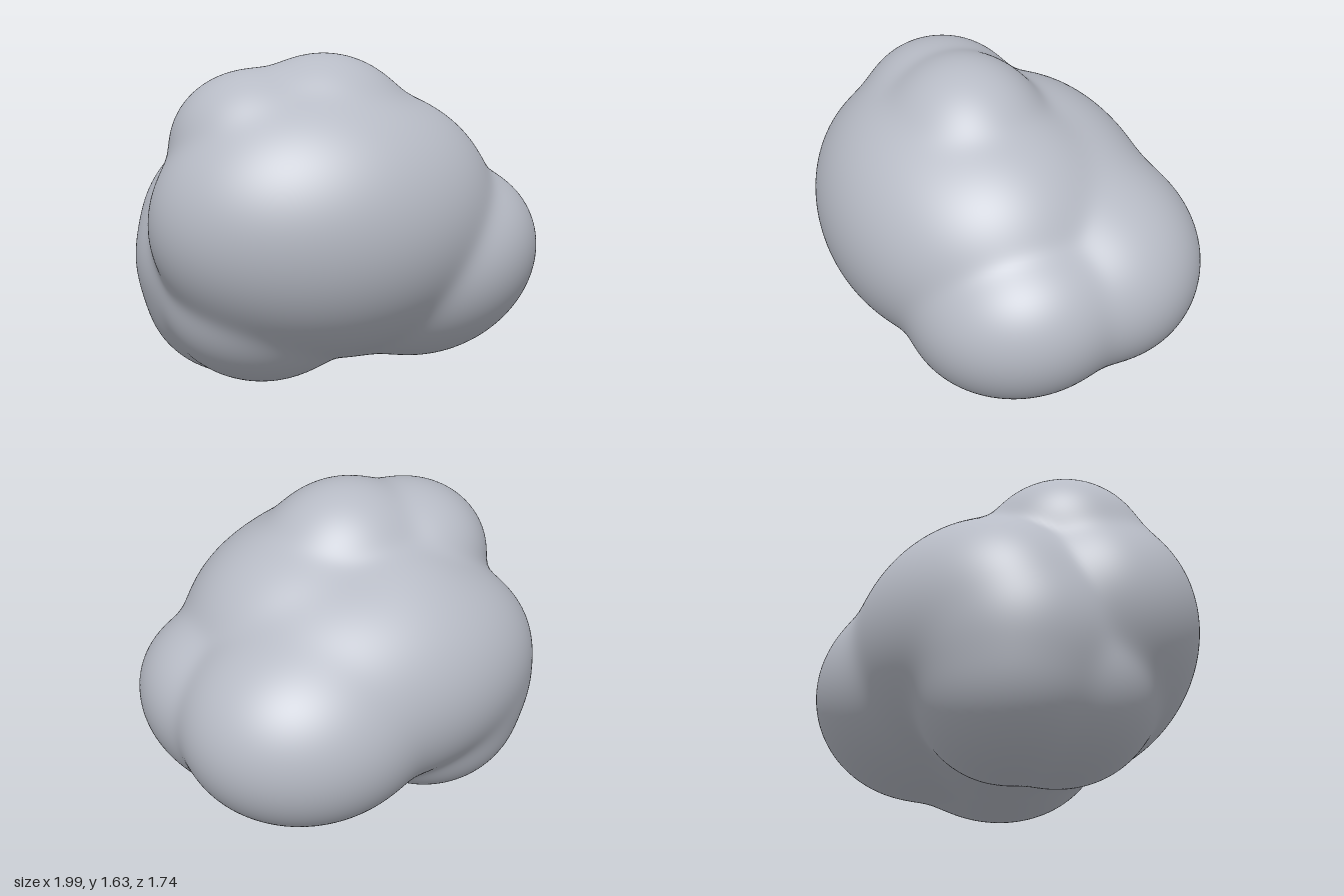
import * as THREE from 'three';
import { mergeVertices } from 'three/addons/utils/BufferGeometryUtils.js';

// Overlapping lobes: centre x, y, z, radii x, y, z and tilt about z
const LOBES = [
  [-0.17, 0.83, 0.25, 0.83, 0.65, 0.62, 0],    // large front
  [0.10, 0.85, 0.10, 0.65, 0.60, 0.64, 0],     // upper middle
  [-0.12, 1.13, 0.14, 0.49, 0.50, 0.44, 0],    // crown
  [-0.45, 1.19, 0.13, 0.42, 0.37, 0.41, 0],    // crown shoulder
  [-0.20, 0.88, -0.10, 0.55, 0.53, 0.55, 0],   // behind the crown
  [0.43, 0.59, 0.10, 0.58, 0.47, 0.56, 0.42],  // tilted side
  [0.31, 0.68, -0.30, 0.64, 0.52, 0.57, 0],    // back
  [-0.10, 0.78, -0.20, 0.85, 0.58, 0.59, 0],   // broad rear
  [-0.46, 0.61, -0.13, 0.54, 0.50, 0.50, 0],   // lower rear
  [-0.46, 0.41, -0.15, 0.48, 0.41, 0.43, 0],   // rear foot
  [-0.42, 0.45, 0.12, 0.49, 0.42, 0.45, 0],    // front foot
  [0.00, 0.50, 0.00, 0.50, 0.41, 0.50, 0],     // underside
].map(([x, y, z, a, b, c, tilt]) => ({ x, y, z, a, b, c, cos: Math.cos(tilt), sin: Math.sin(tilt) }));
const CENTRE = new THREE.Vector3(-0.06, 0.77, 0.03);
const SHARPNESS = 40;

// Softly blended distance to all lobes, negative inside
function field(p) {
  let sum = 0;
  for (const l of LOBES) {
    const dx = p.x - l.x;
    const dy = p.y - l.y;
    const u = (dx * l.cos + dy * l.sin) / l.a;
    const v = (dy * l.cos - dx * l.sin) / l.b;
    const w = (p.z - l.z) / l.c;
    const k = Math.hypot(u, v, w);
    const d = k * (k - 1) / Math.max(Math.hypot(u / l.a, v / l.b, w / l.c), 1e-6);
    sum += Math.exp(-SHARPNESS * d);
  }
  return -Math.log(sum) / SHARPNESS;
}

// Outermost surface point along a direction from the centre
function surfacePoint(dir, out) {
  const at = (t) => field(out.copy(CENTRE).addScaledVector(dir, t));
  let outer = 1.4;
  while (outer > 0.1 && at(outer - 0.03) > 0) outer -= 0.03;
  let inner = outer - 0.03;
  for (let i = 0; i < 14; i++) {
    const mid = (inner + outer) / 2;
    if (at(mid) > 0) outer = mid; else inner = mid;
  }
  return out.copy(CENTRE).addScaledVector(dir, inner);
}

function lumpyGeometry() {
  let geo = new THREE.IcosahedronGeometry(1, 44);
  geo.deleteAttribute('uv');
  geo.deleteAttribute('normal');
  geo = mergeVertices(geo, 1e-5);
  const pos = geo.attributes.position;
  const dir = new THREE.Vector3();
  const p = new THREE.Vector3();
  for (let i = 0; i < pos.count; i++) {
    dir.fromBufferAttribute(pos, i).normalize();
    surfacePoint(dir, p);
    pos.setXYZ(i, p.x, p.y, p.z);
  }
  // Stand on the ground
  geo.computeBoundingBox();
  geo.translate(0, -geo.boundingBox.min.y, 0);
  geo.computeVertexNormals();
  return geo;
}

export function createModel() {
  const group = new THREE.Group();
  group.name = 'boulder';
  const stone = new THREE.MeshStandardMaterial({ color: 0xb7bbc5 });
  stone.name = 'blue grey stone';
  const body = new THREE.Mesh(lumpyGeometry(), stone);
  body.name = 'lumpyBody';
  group.add(body);
  return group;
}
